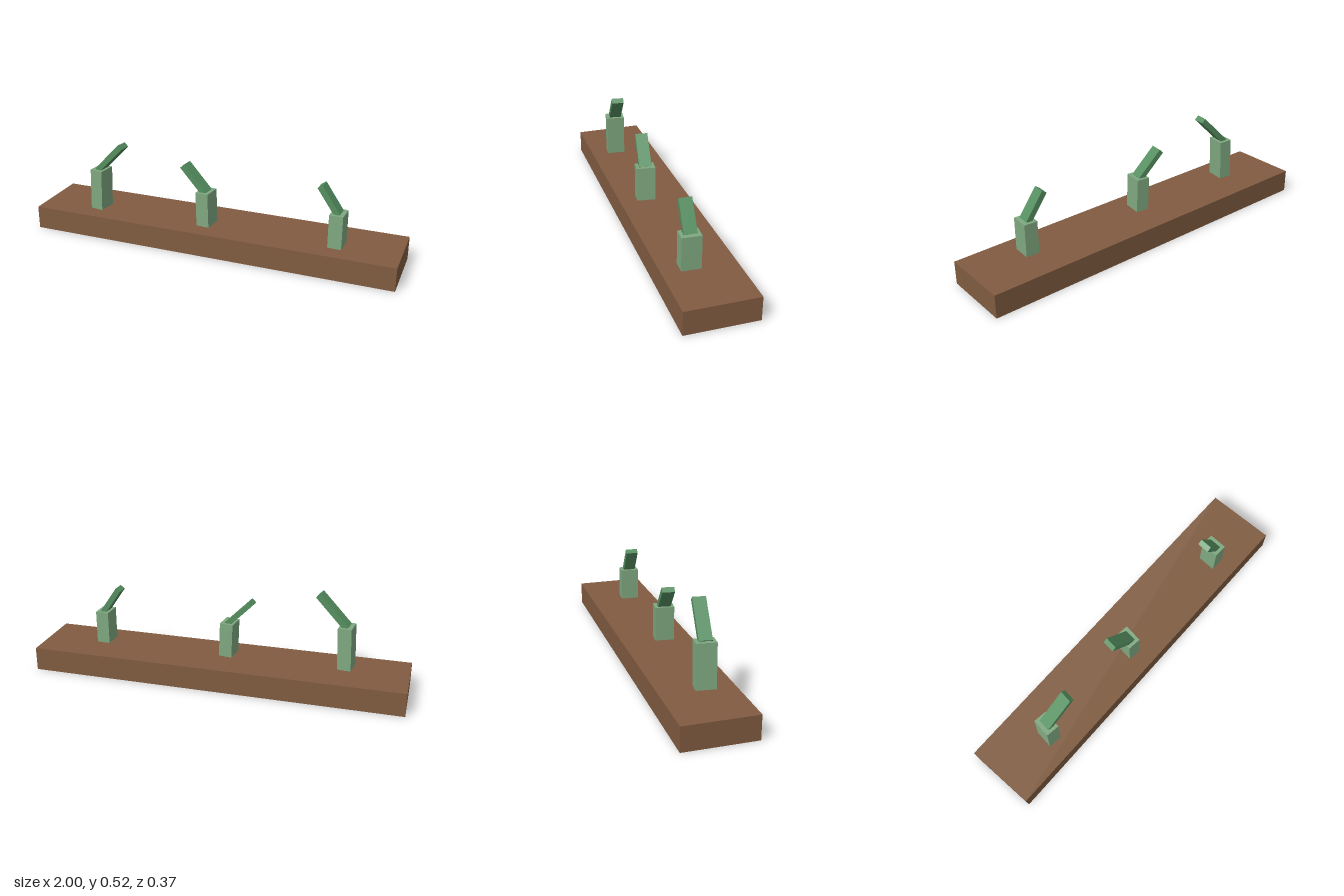
import * as THREE from 'three';

export function createModel() {
  const model = new THREE.Group();

  const brown = new THREE.MeshStandardMaterial({ color: 0x805b40, side: THREE.DoubleSide });
  brown.name = 'brown soil';
  const paleGreen = new THREE.MeshStandardMaterial({ color: 0x7fa880 });
  paleGreen.name = 'pale green';
  const leafGreen = new THREE.MeshStandardMaterial({ color: 0x558f60 });
  leafGreen.name = 'leaf green';

  const baseTop = 0.126;

  // Base: a thin-walled box, open underneath
  const w = 2, d = 0.374;
  const base = new THREE.Group();
  base.name = 'base';
  const addPanel = (name, width, height, pos, rx, ry) => {
    const panel = new THREE.Mesh(new THREE.PlaneGeometry(width, height), brown);
    panel.name = name;
    panel.position.set(...pos);
    panel.rotation.set(rx, ry, 0);
    base.add(panel);
  };
  addPanel('baseTop', w, d, [0, baseTop, 0], -Math.PI / 2, 0);
  addPanel('baseFront', w, baseTop, [0, baseTop / 2, d / 2], 0, 0);
  addPanel('baseBack', w, baseTop, [0, baseTop / 2, -d / 2], 0, Math.PI);
  addPanel('baseLeft', d, baseTop, [w / 2, baseTop / 2, 0], 0, Math.PI / 2);
  addPanel('baseRight', d, baseTop, [-w / 2, baseTop / 2, 0], 0, -Math.PI / 2);
  model.add(base);

  // Sprout: an upright stalk and a slanted leaf running between two local points
  const addSprout = (name, { x, yaw, lean, height, from, to }) => {
    const sprout = new THREE.Group();
    sprout.name = name;
    sprout.position.set(x, baseTop, 0.042);
    sprout.rotation.y = -yaw;

    const stalkGeometry = new THREE.BoxGeometry(0.072, height, 0.1);
    stalkGeometry.translate(0, height / 2, 0);
    const stalk = new THREE.Mesh(stalkGeometry, paleGreen);
    stalk.name = 'stalk';
    stalk.rotation.z = lean;
    sprout.add(stalk);

    const dx = to[0] - from[0], dy = to[1] - from[1];
    const leaf = new THREE.Mesh(new THREE.BoxGeometry(0.03, Math.hypot(dx, dy), 0.066), leafGreen);
    leaf.name = 'leaf';
    leaf.position.set((from[0] + to[0]) / 2, (from[1] + to[1]) / 2, 0);
    leaf.rotation.z = -Math.atan2(dx, dy);
    sprout.add(leaf);
    model.add(sprout);
  };

  addSprout('rightSprout', { x: -0.672, yaw: 0.125, lean: -0.04, height: 0.229, from: [0.004, 0.224], to: [0.161, 0.382] });
  addSprout('middleSprout', { x: -0.036, yaw: 0.122, lean: 0.03, height: 0.187, from: [0.001, 0.178], to: [-0.131, 0.313] });
  addSprout('leftSprout', { x: 0.672, yaw: 0.045, lean: 0, height: 0.178, from: [0.003, 0.172], to: [-0.094, 0.312] });

  return model;
}
